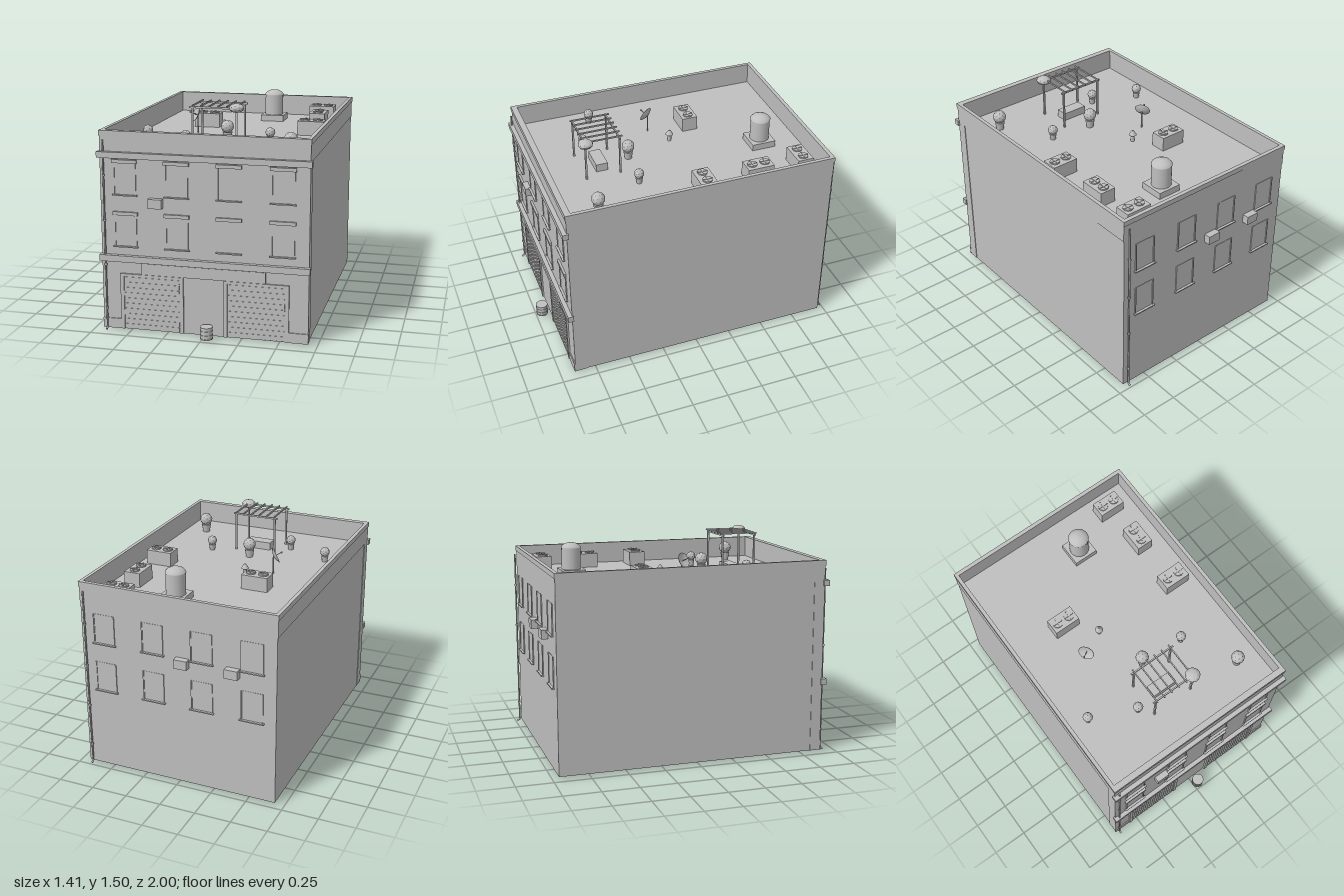
import * as THREE from 'three';

const grey = new THREE.MeshStandardMaterial({ color: 0xbfbfbf });
grey.name = 'plain grey';

function add(parent, name, geo, x = 0, y = 0, z = 0) {
  const m = new THREE.Mesh(geo, grey);
  m.name = name;
  m.position.set(x, y, z);
  parent.add(m);
  return m;
}
// Box given by its extents on each axis
function box(parent, name, x0, x1, y0, y1, z0, z1) {
  return add(parent, name, new THREE.BoxGeometry(x1 - x0, y1 - y0, z1 - z0),
    (x0 + x1) / 2, (y0 + y1) / 2, (z0 + z1) / 2);
}
function cyl(parent, name, r0, r1, y0, y1, x, z, sides = 16) {
  return add(parent, name, new THREE.CylinderGeometry(r1, r0, y1 - y0, sides), x, (y0 + y1) / 2, z);
}
function group(parent, name, x = 0, y = 0, z = 0) {
  const g = new THREE.Group();
  g.name = name;
  g.position.set(x, y, z);
  parent.add(g);
  return g;
}
// Rectangular ring around the roof edge
function ring(parent, name, ox, oz0, oz1, ix, iz0, iz1, y0, y1) {
  const g = group(parent, name);
  box(g, name + 'Front', -ox, ox, y0, y1, iz1, oz1);
  box(g, name + 'Back', -ox, ox, y0, y1, oz0, iz0);
  for (const s of [-1, 1]) box(g, name + 'Side', Math.min(s * ix, s * ox), Math.max(s * ix, s * ox), y0, y1, iz0, iz1);
}

const ROOF = 1.19, FRONT = 0.895, BACK = -0.955;
const COLUMNS = [-0.522, -0.175, 0.17, 0.52];

// Window: glass plate, jambs, sill and optional lintel; dir is the outward z
function windowUnit(parent, x, y, face, dir, lintel) {
  const g = group(parent, 'window', x, y, face);
  const plate = (name, x0, x1, y0, y1, d) => box(g, name, x0, x1, y0, y1, Math.min(0, dir * d), Math.max(0, dir * d));
  plate('glass', -0.068, 0.068, 0, 0.205, 0.002);
  plate('jamb', 0.068, 0.076, 0, 0.205, 0.007);
  plate('jamb', -0.076, -0.068, 0, 0.205, 0.007);
  plate('sill', -0.084, 0.084, -0.008, 0, 0.018);
  if (lintel) plate('lintel', -0.084, 0.084, 0.207, 0.23, 0.015);
}

// Downpipe with brackets and a bent foot
function drainPipe(parent, x, z, dir) {
  const g = group(parent, 'drainPipe', x, 0, z);
  cyl(g, 'pipe', 0.006, 0.006, 0.015, 1.28, 0, 0, 8);
  for (const y of [0.15, 0.45, 0.75, 1.05]) cyl(g, 'bracket', 0.01, 0.01, y - 0.006, y + 0.006, 0, 0, 8);
  const foot = cyl(g, 'pipeFoot', 0.007, 0.007, 0, 0.026, 0, dir * 0.008, 8);
  foot.rotation.x = -dir * 0.9;
  foot.position.y = 0.011;
}

// Wall air conditioner
function wallCooler(parent, x, y, z0, z1) {
  const g = group(parent, 'wallCooler');
  box(g, 'coolerCase', x - 0.046, x + 0.046, y - 0.031, y + 0.031, z0, z1);
}

// Rooftop unit with two low fan housings along its long side
function roofUnit(parent, x0, x1, z0, z1) {
  const g = group(parent, 'roofUnit');
  box(g, 'unitCase', x0, x1, ROOF, ROOF + 0.1, z0, z1);
  const long = x1 - x0 > z1 - z0;
  for (const s of [-0.045, 0.045]) {
    const x = (x0 + x1) / 2 + (long ? s : 0), z = (z0 + z1) / 2 + (long ? 0 : s);
    cyl(g, 'fanHousing', 0.034, 0.034, ROOF + 0.1, ROOF + 0.108, x, z, 12);
    box(g, 'fanBar', x - 0.034, x + 0.034, ROOF + 0.108, ROOF + 0.112, z - 0.004, z + 0.004);
    box(g, 'fanBar', x - 0.004, x + 0.004, ROOF + 0.108, ROOF + 0.112, z - 0.034, z + 0.034);
  }
}

function foliage(parent, x, y, z, r, squash = 1) {
  const geo = new THREE.IcosahedronGeometry(r, 1).toNonIndexed();
  geo.computeVertexNormals();
  add(parent, 'foliage', geo, x, y, z).scale.y = squash;
}

export function createModel() {
  const model = new THREE.Group();
  model.name = 'cityBuilding';

  // Main block, front slab and parapet
  box(model, 'body', -0.686, 0.686, 0.008, ROOF, BACK, 0.82);
  box(model, 'frontWall', -0.69, 0.69, 0.008, ROOF, 0.82, FRONT);
  ring(model, 'parapet', 0.69, BACK, FRONT, 0.67, -0.935, 0.86, ROOF, 1.305);
  ring(model, 'coping', 0.693, -0.96, 0.9, 0.668, -0.933, 0.858, 1.305, 1.34);

  // Cornice bands
  box(model, 'lowerBand', -0.7, 0.7, 0.475, 0.518, 0.885, 0.925);
  box(model, 'upperBand', -0.703, 0.703, 1.165, 1.205, 0.885, 0.925);

  // Shop front: fascia, roller shutters, door and plinths
  const shop = group(model, 'shopFront');
  box(shop, 'fascia', -0.415, 0.412, 0.395, 0.47, FRONT, 0.912);
  box(shop, 'door', -0.132, 0.132, 0.01, 0.392, FRONT, 0.897);
  for (const s of [-1, 1]) {
    const side = group(shop, 'shutterBay', s * 0.35);
    box(side, 'shutter', -0.19, 0.19, 0.012, 0.375, FRONT, 0.9);
    for (let i = 0; i < 10; i++) box(side, 'slat', -0.187, 0.187, 0.016 + i * 0.036, 0.046 + i * 0.036, 0.9, 0.903);
    for (const e of [-0.2025, 0.2025]) box(side, 'shutterRail', e - 0.0125, e + 0.0125, 0.01, 0.392, FRONT, 0.907);
    box(side, 'shutterHead', -0.19, 0.19, 0.375, 0.392, FRONT, 0.907);
    const a = s * 0.565, b = s * 0.692;
    box(shop, 'plinth', Math.min(a, b), Math.max(a, b), 0.008, 0.075, FRONT, 0.902);
  }

  // Windows on two floors, front and back
  for (const x of COLUMNS) for (const y of [0.58, 0.925]) {
    windowUnit(model, x, y, FRONT, 1, true);
    windowUnit(model, x, y, BACK, -1, false);
  }

  // Wall fittings
  drainPipe(model, -0.662, 0.909, 1);
  drainPipe(model, 0.655, -0.972, -1);
  wallCooler(model, -0.312, 0.88, FRONT, 0.935);
  wallCooler(model, -0.393, 0.9, -1, BACK);
  wallCooler(model, -0.043, 0.9, -1, BACK);

  // Barrel with hoops
  const barrel = group(model, 'barrel');
  cyl(barrel, 'drum', 0.039, 0.039, 0.008, 0.09, 0.033, 0.955);
  for (const y of [0.01, 0.035, 0.062, 0.086]) cyl(barrel, 'hoop', 0.042, 0.042, y, y + 0.006, 0.033, 0.955);

  // Water tank on its platform
  const tank = group(model, 'waterTank', 0.137, 0, -0.665);
  box(tank, 'tankPlatform', -0.085, 0.085, ROOF, 1.235, -0.085, 0.085);
  cyl(tank, 'tankBody', 0.067, 0.067, 1.235, 1.385, 0, 0, 20);
  const dome = [[0.07, 0], [0.07, 0.006], [0.055, 0.022], [0.03, 0.034], [0, 0.038]].map(p => new THREE.Vector2(...p));
  add(tank, 'tankDome', new THREE.LatheGeometry(dome, 20), 0, 1.383, 0);

  // Rooftop cooling units
  for (const r of [[0.395, 0.58, -0.86, -0.75], [0.45, 0.565, -0.58, -0.395],
    [0.43, 0.615, -0.155, -0.04], [-0.365, -0.18, -0.325, -0.215]]) roofUnit(model, ...r);

  // Roof vent
  const vent = group(model, 'roofVent', -0.108, 0, -0.087);
  cyl(vent, 'ventPipe', 0.014, 0.014, ROOF, 1.245, 0, 0, 10);
  cyl(vent, 'ventCap', 0.028, 0.006, 1.24, 1.272, 0, 0, 10);

  // Satellite dish
  const dish = group(model, 'dish');
  cyl(dish, 'dishPole', 0.005, 0.005, ROOF, 1.315, -0.277, 0.015, 8);
  const head = group(dish, 'dishHead', -0.277, 1.315, 0.015);
  head.quaternion.setFromUnitVectors(new THREE.Vector3(0, 1, 0), new THREE.Vector3(-0.74, 0.4, 0.5).normalize());
  const bowl = [[0, 0], [0.03, 0.005], [0.055, 0.018], [0.053, 0.021], [0.029, 0.009], [0, 0.004]].map(p => new THREE.Vector2(...p));
  add(head, 'dishBowl', new THREE.LatheGeometry(bowl, 16));
  cyl(head, 'feedArm', 0.003, 0.003, 0, 0.06, 0, 0, 6);
  add(head, 'feed', new THREE.SphereGeometry(0.007, 8, 6), 0, 0.062, 0);

  // Pergola with a bench below
  const pergola = group(model, 'pergola');
  for (const z of [0.36, 0.597]) {
    for (const x of [-0.15, 0.147]) box(pergola, 'post', x - 0.006, x + 0.006, ROOF, 1.46, z - 0.006, z + 0.006);
    box(pergola, 'beam', -0.17, 0.165, 1.457, 1.469, z - 0.005, z + 0.005);
  }
  for (let i = 0; i < 6; i++) {
    const x = -0.147 + i * 0.0578;
    box(pergola, 'slat', x - 0.004, x + 0.004, 1.469, 1.479, 0.34, 0.615);
  }
  box(model, 'bench', -0.09, 0.09, ROOF, 1.245, 0.43, 0.512);

  // Potted shrubs, and one growing over a pergola post
  for (const [x, z, r] of [[0, 0.255, 0.045], [0.305, 0.282, 0.034], [-0.53, 0.375, 0.034],
    [-0.222, 0.512, 0.034], [0.513, 0.63, 0.046]]) {
    const plant = group(model, 'pottedShrub');
    const h = r * 1.25;
    cyl(plant, 'pot', r * 0.55, r * 0.75, ROOF, ROOF + h, x, z, 10);
    foliage(plant, x, ROOF + h + r * 0.85, z, r);
  }
  foliage(model, 0.147, 1.467, 0.595, 0.051, 0.6);

  return model;
}
